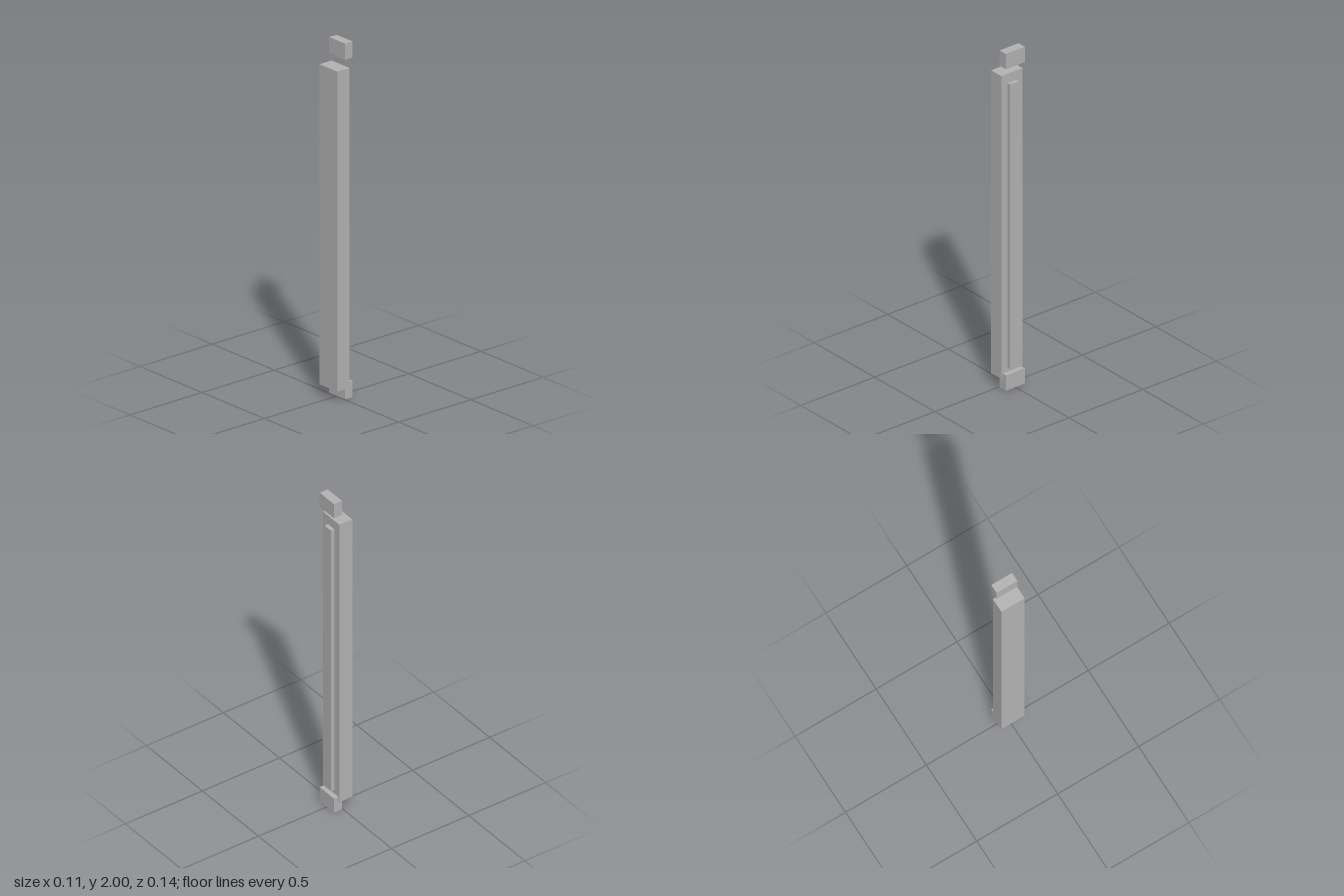
import * as THREE from 'three';

export function createModel() {
  const group = new THREE.Group();
  const grey = new THREE.MeshStandardMaterial({ color: 0xb3b3b3 });
  grey.name = 'grey';

  // Box given by its lower and upper corners
  const addBox = (name, [x0, y0, z0], [x1, y1, z1]) => {
    const mesh = new THREE.Mesh(new THREE.BoxGeometry(x1 - x0, y1 - y0, z1 - z0), grey);
    mesh.position.set((x0 + x1) / 2, (y0 + y1) / 2, (z0 + z1) / 2);
    mesh.name = name;
    group.add(mesh);
  };

  // Tall main bar with a raised strip along its +x side
  addBox('bar', [-0.056, 0.06, -0.072], [0.028, 1.86, 0.072]);
  addBox('strip', [0.02, 0.115, -0.03], [0.05, 1.805, 0.03]);

  // Matching end blocks, the upper one standing clear of the bar
  for (const [name, y] of [['lowerBlock', 0], ['upperBlock', 1.909]]) {
    addBox(name, [0.004, y, -0.064], [0.056, y + 0.091, 0.064]);
  }

  return group;
}
